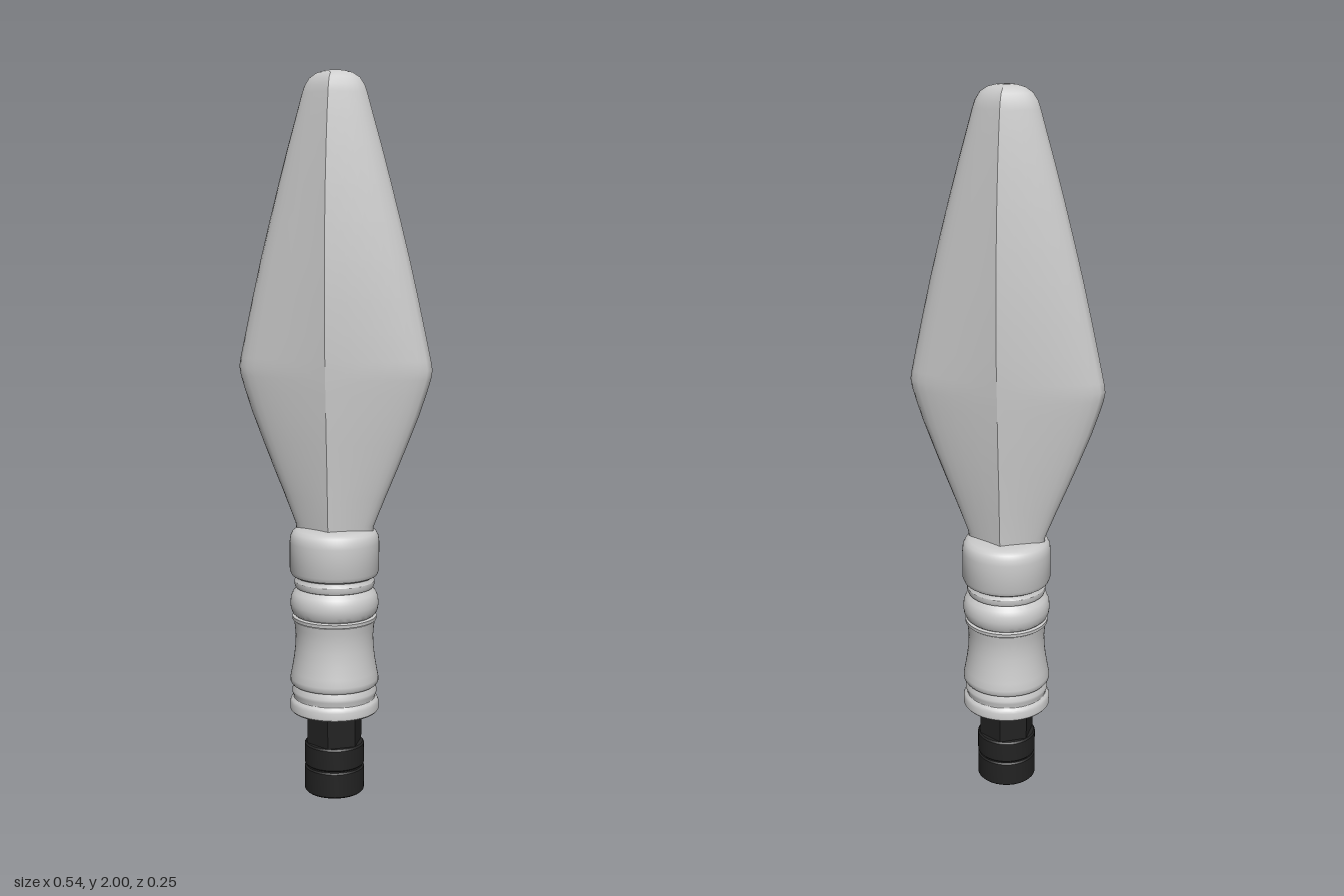
import * as THREE from 'three';
import { toCreasedNormals } from 'three/addons/utils/BufferGeometryUtils.js';

const grey = new THREE.MeshStandardMaterial({ color: 0xcccccc });
const black = new THREE.MeshStandardMaterial({ color: 0x222222 });

function add(parent, name, geometry, material) {
  const mesh = new THREE.Mesh(geometry, material);
  mesh.name = name;
  parent.add(mesh);
  return mesh;
}

// Turned part from [radius, height] pairs, listed bottom to top on the outside
function turned(profile, segments = 64) {
  const points = profile.map(([r, y]) => new THREE.Vector2(r, y));
  return toCreasedNormals(new THREE.LatheGeometry(points, segments), 0.6);
}

// Blade stations: [height, half width, half depth]
const STATIONS = [
  [0.73, 0.107, 0.077], [0.77, 0.112, 0.078], [0.85, 0.144, 0.083], [0.93, 0.177, 0.088],
  [1.0, 0.205, 0.094], [1.08, 0.236, 0.1], [1.14, 0.256, 0.104], [1.18, 0.268, 0.107],
  [1.205, 0.272, 0.108], [1.23, 0.268, 0.11], [1.3, 0.253, 0.113], [1.4, 0.231, 0.115],
  [1.5, 0.208, 0.114], [1.6, 0.183, 0.11], [1.7, 0.157, 0.104], [1.8, 0.13, 0.094],
  [1.88, 0.107, 0.083], [1.94, 0.09, 0.072], [1.96, 0.083, 0.067], [1.98, 0.07, 0.057],
  [1.993, 0.05, 0.04], [1.999, 0.027, 0.022], [2.0, 0, 0],
];

// Quarter section as fractions: flat from the ridge, then rounded at the edge
const QUARTER = [[0, 1], [0.25, 0.81], [0.5, 0.62], [0.68, 0.47], [0.8, 0.36], [0.89, 0.26], [0.96, 0.14], [1, 0]];

// One half of the blade, from the front ridge round the edge to the back ridge
function bladeHalf(side) {
  const section = [...QUARTER, ...QUARTER.slice(0, -1).reverse().map(([x, z]) => [x, -z])];
  const n = section.length;
  const positions = [], index = [];
  for (const [y, w, d] of STATIONS) {
    for (const [x, z] of section) positions.push(side * x * w, y, z * d);
  }
  for (let i = 0; i < STATIONS.length - 1; i++) {
    for (let j = 0; j < n - 1; j++) {
      const a = i * n + j, b = a + 1, c = a + n, d = c + 1;
      if (side > 0) index.push(a, b, d, a, d, c);
      else index.push(a, d, b, a, c, d);
    }
  }
  const geometry = new THREE.BufferGeometry();
  geometry.setAttribute('position', new THREE.Float32BufferAttribute(positions, 3));
  geometry.setIndex(index);
  geometry.computeVertexNormals();
  return geometry;
}

export function createModel() {
  const model = new THREE.Group();
  model.name = 'spearhead';

  // Diamond blade, with sharp ridges where the halves meet
  const blade = new THREE.Group();
  blade.name = 'blade';
  model.add(blade);
  add(blade, 'bladeLeftHalf', bladeHalf(1), grey);
  add(blade, 'bladeRightHalf', bladeHalf(-1), grey);

  // Turned socket: base ring, waisted column, bead and collar
  add(model, 'baseRing', turned([
    [0, 0.238], [0.122, 0.238], [0.125, 0.242], [0.125, 0.262], [0.122, 0.27],
    [0.115, 0.276], [0.115, 0.28], [0.119, 0.29], [0.119, 0.298], [0.114, 0.308], [0.112, 0.316],
  ]), grey);
  add(model, 'column', turned([
    [0.108, 0.314], [0.12, 0.316], [0.124, 0.322], [0.124, 0.334], [0.12, 0.355], [0.114, 0.39],
    [0.11, 0.425], [0.109, 0.455], [0.111, 0.48], [0.114, 0.499], [0.108, 0.502],
  ]), grey);
  add(model, 'bead', turned([
    [0.106, 0.5], [0.118, 0.502], [0.118, 0.511], [0.11, 0.514], [0.117, 0.52], [0.122, 0.532],
    [0.124, 0.547], [0.122, 0.565], [0.116, 0.579], [0.108, 0.587], [0.104, 0.592],
  ]), grey);
  add(model, 'neckRing', turned([
    [0.104, 0.592], [0.109, 0.594], [0.112, 0.602], [0.112, 0.612], [0.107, 0.619], [0.106, 0.63],
  ]), grey);
  add(model, 'collar', turned([
    [0.1, 0.624], [0.112, 0.625], [0.12, 0.63], [0.125, 0.642], [0.125, 0.722], [0.123, 0.738],
    [0.117, 0.75], [0.107, 0.757], [0.09, 0.761], [0.05, 0.764], [0, 0.765],
  ]), grey);

  // Black hexagonal nut below the socket
  const nut = new THREE.CylinderGeometry(0.08, 0.08, 0.1, 6).toNonIndexed();
  nut.computeVertexNormals();
  add(model, 'hexNut', nut, black).position.y = 0.19;

  // Black round foot with a groove and a recess underneath
  add(model, 'foot', turned([
    [0, 0.05], [0.04, 0.05], [0.04, 0], [0.08, 0], [0.084, 0.004], [0.084, 0.07], [0.08, 0.074],
    [0.08, 0.078], [0.084, 0.082], [0.084, 0.138], [0.08, 0.143], [0, 0.143],
  ], 48), black);

  return model;
}
